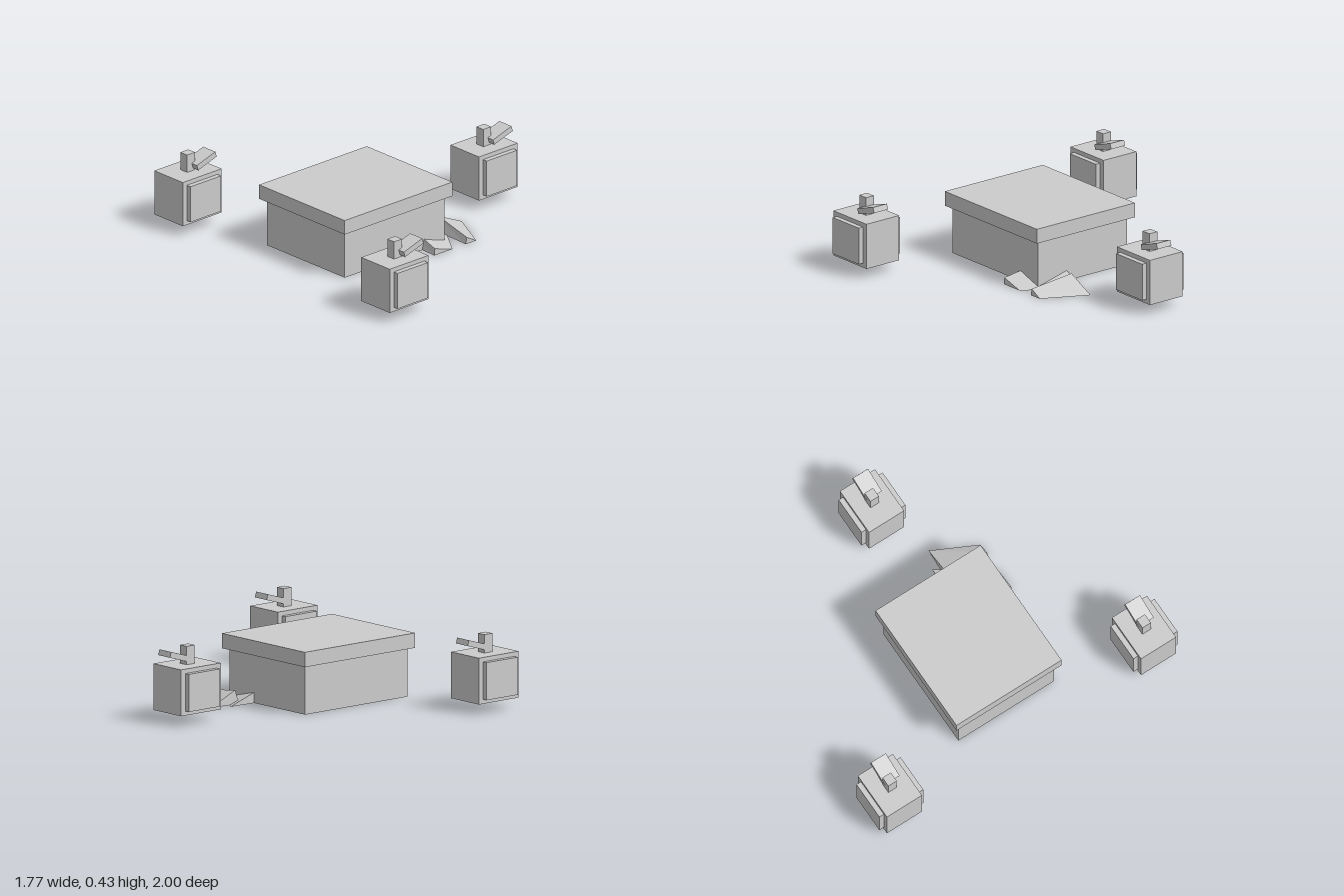
import * as THREE from 'three';

export function createModel() {
  const root = new THREE.Group();
  const grey = new THREE.MeshStandardMaterial({ color: 0xcccccc, side: THREE.DoubleSide, flatShading: true });
  grey.name = 'plainGrey';

  const add = (parent, name, geometry, x = 0, y = 0, z = 0) => {
    const mesh = new THREE.Mesh(geometry, grey);
    mesh.name = name;
    mesh.position.set(x, y, z);
    parent.add(mesh);
    return mesh;
  };
  const box = (parent, name, w, h, d, x, y, z) => add(parent, name, new THREE.BoxGeometry(w, h, d), x, y, z);

  // Box with a lid, open underneath
  const chest = new THREE.Group();
  chest.name = 'chest';
  root.add(chest);
  const cx = -0.25, w = 0.76, d = 0.64, h = 0.28;
  for (const s of [1, -1]) {
    const turn = s > 0 ? 0 : Math.PI;
    add(chest, s > 0 ? 'frontWall' : 'backWall', new THREE.PlaneGeometry(w, h), cx, h / 2, s * d / 2).rotation.y = turn;
    add(chest, s > 0 ? 'leftWall' : 'rightWall', new THREE.PlaneGeometry(d, h), cx + s * w / 2, h / 2, 0).rotation.y = s * Math.PI / 2;
  }
  box(chest, 'lid', 0.82, 0.085, 0.705, cx, 0.3225, 0);

  // Blocky apples: body, raised front and back panels, stem and tilted leaf
  for (const [x, z] of [[-0.74, 0.8525], [-0.74, -0.8525], [0.7275, 0]]) {
    const apple = new THREE.Group();
    apple.name = 'apple';
    apple.position.set(x, 0, z);
    root.add(apple);
    box(apple, 'appleBody', 0.295, 0.265, 0.235, 0, 0.1925, 0);
    for (const s of [1, -1]) box(apple, 'applePanel', 0.232, 0.215, 0.03, 0, 0.1925, s * 0.1325);
    box(apple, 'stem', 0.06, 0.105, 0.056, 0, 0.3775, -0.002);
    box(apple, 'leaf', 0.147, 0.033, 0.1, 0.08, 0.376, 0.019).rotation.z = 0.3;
  }

  // Ridged shards: triangular section at the front lofted to one at the back (left foot, ridge, right foot)
  const shard = (front, back) => {
    const g = new THREE.BufferGeometry();
    g.setAttribute('position', new THREE.Float32BufferAttribute([...front, ...back].flat(), 3));
    const index = [0, 2, 1, 3, 4, 5];
    for (let i = 0; i < 3; i++) {
      const j = (i + 1) % 3;
      index.push(i, j, j + 3, i, j + 3, i + 3);
    }
    g.setIndex(index);
    const flat = g.toNonIndexed();
    flat.computeVertexNormals();
    add(root, 'shard', flat);
  };
  shard(
    [[0.195, 0, 0.425], [0.203, 0.04, 0.425], [0.275, 0, 0.425]],
    [[0.205, 0, 0.155], [0.23, 0.08, 0.16], [0.405, 0, 0.165]]);
  shard(
    [[-0.045, 0, 0.425], [-0.04, 0.04, 0.425], [0.095, 0, 0.425]],
    [[-0.03, 0, 0.105], [0, 0.105, 0.11], [0.3, 0, 0.12]]);

  return root;
}
